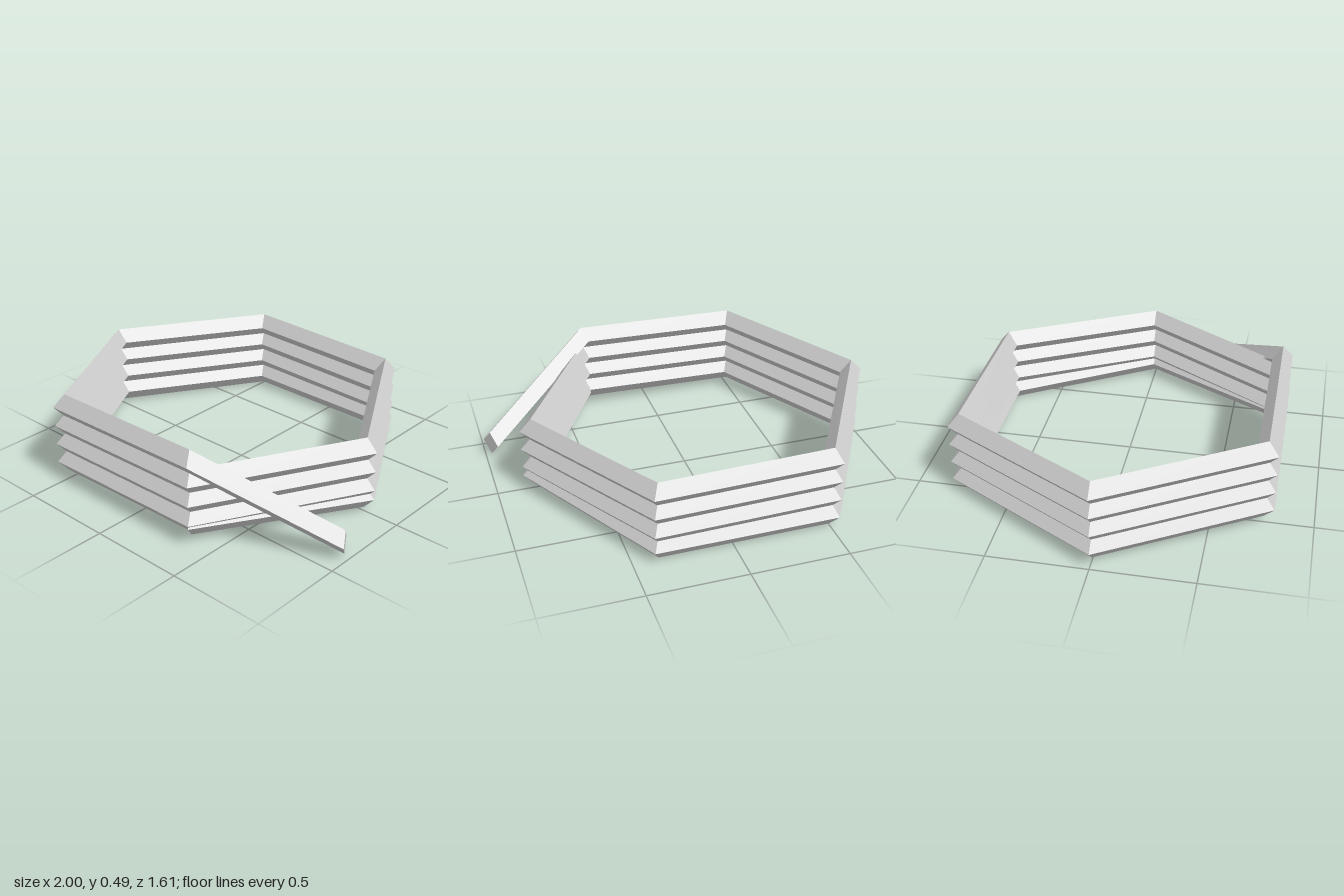
import * as THREE from 'three';

const CENTRE_X = -0.067, RADIUS = 0.87, HALF_W = 0.06, HALF_H = 0.0645;
const RISE = 0.0172; // climb per hexagon side

// Diamond section: outer, top, inner and bottom corners
function diamond(x, y, z, dx, dz) {
  return [
    [x + dx, y, z + dz], [x, y + HALF_H, z],
    [x - dx, y, z - dz], [x, y - HALF_H, z],
  ];
}

// Section at hexagon corner k, counted from the front right corner
function cornerSection(k, y) {
  const a = Math.PI / 3 * (1 - k), c = Math.cos(a), s = Math.sin(a);
  return diamond(CENTRE_X + RADIUS * c, y, RADIUS * s, HALF_W * c, HALF_W * s);
}

// Flat-sided bar through a row of diamond sections
function bar(name, sections, capStart, capEnd) {
  const pos = [];
  const quad = (a, b, c, d) => pos.push(...a, ...b, ...c, ...a, ...c, ...d);
  for (let i = 0; i + 1 < sections.length; i++) {
    const s = sections[i], t = sections[i + 1];
    for (let j = 0; j < 4; j++) {
      const n = (j + 1) % 4;
      quad(s[j], t[j], t[n], s[n]);
    }
  }
  if (capStart) quad(...sections[0]);
  if (capEnd) quad(...[...sections[sections.length - 1]].reverse());
  const geo = new THREE.BufferGeometry();
  geo.setAttribute('position', new THREE.Float32BufferAttribute(pos, 3));
  geo.computeVertexNormals();
  const mesh = new THREE.Mesh(geo, new THREE.MeshStandardMaterial({ color: 0xcccccc, flatShading: true }));
  mesh.name = name;
  return mesh;
}

export function createModel() {
  const group = new THREE.Group();
  group.name = 'hexagonalCoil';

  // Four wound turns: the first dips to the back, then all climb steadily
  const sections = [];
  for (let k = 0; k <= 24; k++) {
    const y = k < 3 ? 0.0645 + RISE * (2 - k) * 1.1 : 0.067 + RISE * (k - 3);
    sections.push(cornerSection(k, y));
  }
  group.add(bar('coil', sections, true, false));

  // Loose end sloping down and away from the front right corner
  const end = diamond(0.97, 0.077, 0.37, 0.03, 0.05);
  group.add(bar('looseEnd', [sections[24], end], false, true));

  return group;
}
